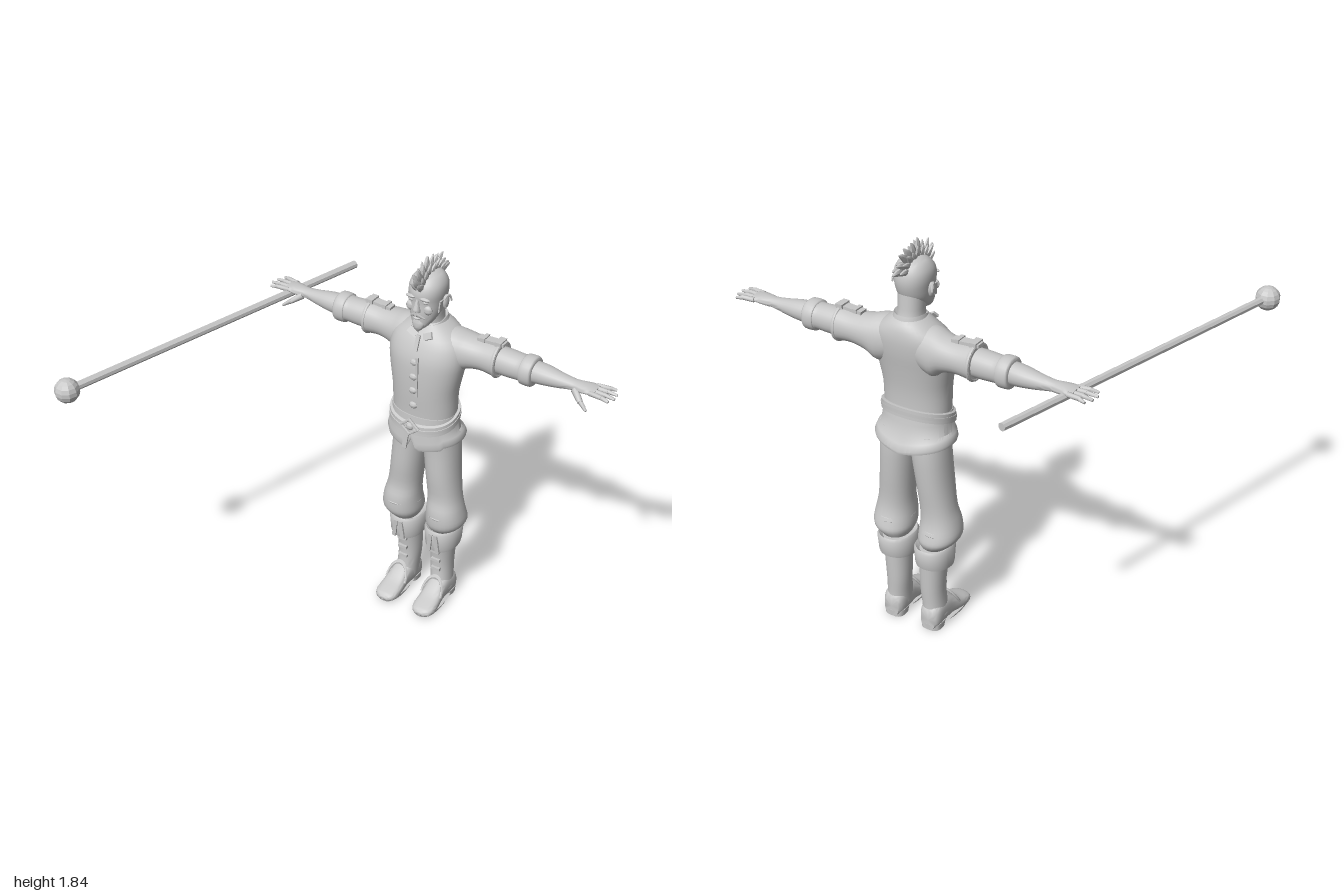
import * as THREE from 'three';
import { toCreasedNormals } from 'three/addons/utils/BufferGeometryUtils.js';

const grey = new THREE.MeshStandardMaterial({ color: 0xc8c8c8 });
grey.name = 'plain grey';

// Turn faces outward by the sign of the enclosed volume
function orient(geo) {
  const p = geo.attributes.position, id = geo.index.array;
  const a = new THREE.Vector3(), b = new THREE.Vector3(), c = new THREE.Vector3();
  let vol = 0;
  for (let i = 0; i < id.length; i += 3) {
    a.fromBufferAttribute(p, id[i]); b.fromBufferAttribute(p, id[i + 1]); c.fromBufferAttribute(p, id[i + 2]);
    vol += a.dot(b.cross(c));
  }
  if (vol < 0) for (let i = 0; i < id.length; i += 3) [id[i], id[i + 2]] = [id[i + 2], id[i]];
  return geo;
}

// Closed loft of superellipse rings [t, centreA, halfA, lowB, highB] along an axis
function loft(axis, rings, { seg = 28, sub = 3, pow = 2.2, rule } = {}) {
  const rows = [];
  const at = i => rings[Math.min(rings.length - 1, Math.max(0, i))];
  for (let i = 0; i < rings.length - 1; i++)
    for (let k = 0; k < sub; k++) {
      const f = k / sub, [p, q, r, s] = [at(i - 1), at(i), at(i + 1), at(i + 2)];
      rows.push(q.map((v, j) => sub === 1 ? v : v + 0.5 * f * (r[j] - p[j] +
        f * (2 * p[j] - 5 * v + 4 * r[j] - s[j] + f * (3 * (v - r[j]) + s[j] - p[j])))));
    }
  rows.push(at(rings.length));
  const pos = [], idx = [];
  const put = (t, a, b) => {
    const v = axis === 'y' ? [a, t, b] : axis === 'x' ? [t, b, a] : [a, b, t];
    pos.push(...(rule ? rule(...v) : v));
  };
  const sp = v => Math.sign(v) * Math.abs(v) ** (2 / pow);
  for (const [t, ca, wa, b0, b1] of rows)
    for (let j = 0; j < seg; j++) {
      const th = j / seg * Math.PI * 2;
      put(t, ca + wa * sp(Math.sin(th)), (b0 + b1) / 2 + (b1 - b0) / 2 * sp(Math.cos(th)));
    }
  const n = rows.length, first = rows[0], last = rows[n - 1];
  put(first[0], first[1], (first[3] + first[4]) / 2);
  put(last[0], last[1], (last[3] + last[4]) / 2);
  for (let i = 0; i < n - 1; i++)
    for (let j = 0; j < seg; j++) {
      const a = i * seg + j, b = i * seg + (j + 1) % seg;
      idx.push(a, b, a + seg, b, b + seg, a + seg);
    }
  for (let j = 0; j < seg; j++) {
    const k = (j + 1) % seg, o = (n - 1) * seg;
    idx.push(n * seg, k, j, n * seg + 1, o + j, o + k);
  }
  const g = new THREE.BufferGeometry();
  g.setAttribute('position', new THREE.Float32BufferAttribute(pos, 3));
  g.setIndex(idx);
  return orient(g);
}

// Tapered rod between two points
function rod(p, q, r0, r1, sides = 8, flat = 1) {
  const a = new THREE.Vector3(...p), b = new THREE.Vector3(...q), d = b.clone().sub(a);
  const g = new THREE.CylinderGeometry(r1, r0, d.length(), sides, 1).scale(flat, 1, 1);
  g.applyQuaternion(new THREE.Quaternion().setFromUnitVectors(new THREE.Vector3(0, 1, 0), d.normalize()));
  return g.translate(...a.add(b).multiplyScalar(0.5).toArray());
}
const box = (w, h, d, x, y, z, rx = 0, rz = 0) =>
  new THREE.BoxGeometry(w, h, d).rotateX(rx).rotateZ(rz).translate(x, y, z);
const ball = (x, y, z, a, b, c, n = 12) => new THREE.SphereGeometry(1, n, 9).scale(a, b, c).translate(x, y, z);

export function createModel() {
  const model = new THREE.Group(), body = new THREE.Group();
  body.name = 'figure';
  body.position.x = 0.125;
  model.add(body);
  const add = (name, geo, crease = 0.75, parent = body) => {
    const m = new THREE.Mesh(toCreasedNormals(geo, crease), grey);
    m.name = name;
    parent.add(m);
  };
  const pair = (name, geo, crease) => {
    add(name + 'Left', geo, crease);
    add(name + 'Right', orient(geo.clone().scale(-1, 1, 1)), crease);
  };

  // Shirt, skirt and belt
  add('shirt', loft('y', [[1.0, 0, .15, -.275, -.495], [1.1, 0, .152, -.272, -.488], [1.2, 0, .155, -.266, -.49],
    [1.3, 0, .172, -.265, -.503], [1.38, 0, .182, -.272, -.516], [1.45, 0, .168, -.298, -.52],
    [1.5, 0, .11, -.33, -.51], [1.53, 0, .066, -.348, -.487]], { seg: 40 }), 1);
  add('shirtSkirt', loft('y', [[.985, 0, .12, -.3, -.49], [.925, 0, .17, -.27, -.53], [.935, 0, .184, -.256, -.545],
    [1.0, 0, .165, -.262, -.51], [1.09, 0, .154, -.268, -.492]], {
    seg: 64, sub: 2, rule: (x, y, z) => {
      if (y > .98) return [x, y, z];
      const slit = z > -.35 ? Math.max(0, 1 - Math.abs(x) / .025) : 0;
      return [x, y + Math.abs(x) * .16 - (z > -.3 ? .012 : 0) + slit * .06, z];
    } }));
  const tilt = (x, y, z) => [x, y - (z + .38) * .3, z];
  add('belt', loft('y', [[1.04, 0, .154, -.264, -.496], [1.043, 0, .165, -.252, -.504], [1.088, 0, .164, -.254, -.502],
    [1.091, 0, .152, -.266, -.492]], { seg: 48, sub: 1, rule: tilt }));
  add('beltEdge', loft('y', [[1.058, 0, .167, -.25, -.507], [1.073, 0, .167, -.25, -.507]], { seg: 48, sub: 1, rule: tilt }));
  add('buckle', new THREE.TorusGeometry(.038, .008, 6, 4).scale(1.15, 1, 1).translate(0, 1.045, -.246), .4);
  add('buckleStud', ball(0, 1.045, -.249, .018, .018, .01));
  add('beltTail', box(.022, .13, .008, -.02, .985, -.254, -.05, -.12));
  for (const [y, z] of [[1.15, -.268], [1.23, -.262], [1.3, -.262], [1.37, -.268]])
    add('shirtClasp', ball(.004, y, z, .02, .016, .012));
  add('shirtPlacket', box(.012, .2, .008, .02, 1.3, -.264));

  // Collar with its open flaps
  add('collar', loft('y', [[1.49, 0, .085, -.325, -.5], [1.53, 0, .07, -.338, -.49], [1.545, 0, .066, -.342, -.485],
    [1.53, 0, .05, -.36, -.47]], { sub: 1, rule: (x, y, z) => [x, y - Math.max(0, z + .42) * .3, z] }));
  pair('collarFlap', box(.045, .03, .01, .038, 1.487, -.318, -.6, .5));
  add('collarTie', box(.018, .07, .008, 0, 1.455, -.292, -.35));

  // Arms: sleeve, under-sleeve, forearm and hand
  pair('sleeve', loft('x', [[.05, -.42, .085, 1.32, 1.505], [.13, -.425, .09, 1.29, 1.5], [.18, -.435, .082, 1.325, 1.487],
    [.25, -.44, .075, 1.343, 1.478], [.31, -.44, .077, 1.338, 1.484], [.335, -.44, .08, 1.333, 1.488]]), 1);
  pair('sleeveHem', new THREE.TorusGeometry(.075, .009, 8, 28).rotateY(Math.PI / 2).translate(.328, 1.411, -.44));
  pair('underSleeve', loft('x', [[.31, -.44, .06, 1.35, 1.47], [.38, -.44, .06, 1.35, 1.468], [.44, -.44, .058, 1.352, 1.465],
    [.452, -.44, .066, 1.342, 1.474], [.495, -.44, .066, 1.342, 1.474], [.502, -.44, .054, 1.355, 1.46]]));
  pair('forearm', loft('x', [[.48, -.44, .048, 1.36, 1.458], [.55, -.442, .047, 1.367, 1.452], [.62, -.443, .036, 1.376, 1.44],
    [.68, -.444, .03, 1.388, 1.432], [.715, -.444, .036, 1.39, 1.432], [.755, -.445, .044, 1.4, 1.43],
    [.785, -.445, .042, 1.404, 1.426]], { seg: 20 }), 1.2);
  [[.85, -.482, -.5], [.868, -.459, -.467], [.872, -.435, -.432], [.858, -.412, -.4]].forEach(([x, z0, z1], i) => {
    pair('finger' + i, rod([.765, 1.415, z0], [.825, 1.416, (z0 + z1) / 2], .0115, .01, 8), 1);
    pair('fingertip' + i, rod([.822, 1.416, (z0 + z1) / 2], [x, 1.411, z1], .01, .006, 8), 1);
  });
  pair('thumb', rod([.695, 1.402, -.42], [.74, 1.372, -.388], .017, .012), 1);
  pair('thumbTip', rod([.735, 1.376, -.391], [.775, 1.348, -.375], .012, .006), 1);

  // Shoulder straps
  pair('shoulderStrap', box(.13, .014, .04, .285, 1.488, -.44, 0, .05));
  pair('strapBand', box(.03, .02, .056, .325, 1.494, -.44));
  pair('strapLoop', box(.018, .018, .05, .25, 1.49, -.44));

  // Trousers
  pair('trouserLeg', loft('y', [[1.0, .073, .076, -.3, -.495], [.9, .08, .08, -.31, -.502], [.75, .094, .077, -.312, -.494],
    [.63, .107, .078, -.32, -.484], [.56, .115, .086, -.306, -.488], [.5, .118, .093, -.304, -.505],
    [.465, .113, .086, -.312, -.51], [.43, .102, .06, -.34, -.49]]), 1);
  add('crotch', loft('y', [[.87, 0, .03, -.36, -.45], [.9, 0, .06, -.33, -.47], [.98, 0, .1, -.3, -.49]]), 1);
  pair('kneeFold', new THREE.TorusGeometry(.07, .02, 8, 28).rotateX(Math.PI / 2 - .1).scale(1, 1, 1.12).translate(.116, .525, -.402));

  // Boots: shaft, turned-down cuff, foot, heel and straps
  pair('bootShaft', loft('y', [[.42, .096, .062, -.34, -.5], [.3, .092, .057, -.362, -.497], [.2, .09, .053, -.372, -.494],
    [.12, .094, .051, -.365, -.49], [.06, .098, .052, -.35, -.492]]), 1);
  pair('bootCuff', loft('y', [[.355, .096, .06, -.35, -.5], [.33, .096, .078, -.336, -.512], [.345, .096, .081, -.332, -.516],
    [.425, .097, .085, -.322, -.523], [.437, .097, .078, -.33, -.515], [.42, .097, .06, -.35, -.5]], {
    seg: 40, sub: 1, rule: (x, y, z) => [x, y + (y < .35 ? (z + .42) * -.12 : 0), z] }));
  pair('cuffTailInner', box(.02, .1, .01, .078, .375, -.326, .05, -.12));
  pair('cuffTailOuter', box(.02, .1, .01, .114, .375, -.326, .05, .12));
  pair('bootFoot', loft('z', [[-.496, .098, .036, .004, .1], [-.47, .098, .05, .002, .13], [-.41, .098, .051, .006, .14],
    [-.355, .1, .05, .01, .115], [-.3, .102, .055, .004, .078], [-.25, .103, .056, .004, .058],
    [-.22, .103, .045, .008, .046], [-.206, .102, .022, .015, .036]], { pow: 2.7 }), 1);
  pair('bootSole', loft('y', [[.008, .102, .053, -.208, -.42], [.02, .102, .056, -.205, -.46]], { sub: 1, pow: 2.5 }));
  pair('bootHeel', loft('y', [[0, .098, .047, -.41, -.496], [.03, .098, .049, -.4, -.497]], { sub: 1, pow: 3 }));
  pair('ankleSeam', new THREE.TorusGeometry(.052, .006, 6, 28, Math.PI).scale(1, 1.75, 1).rotateX(-.5).translate(.1, .065, -.318));
  for (const y of [.19, .245, .3])
    pair('bootStrap', box(.046, .014, .016, .092, y, -.368 + (y - .2) * .08));

  // Neck and head
  add('neck', loft('y', [[1.45, 0, .075, -.34, -.5], [1.53, 0, .056, -.35, -.472], [1.58, 0, .055, -.345, -.465],
    [1.64, 0, .055, -.35, -.46]]), 1);
  add('head', loft('y', [[1.527, 0, .02, -.293, -.33], [1.54, 0, .036, -.288, -.36], [1.57, 0, .056, -.286, -.41],
    [1.605, 0, .068, -.284, -.45], [1.65, 0, .075, -.286, -.468], [1.69, 0, .08, -.283, -.473],
    [1.725, 0, .076, -.293, -.466], [1.755, 0, .058, -.32, -.447], [1.77, 0, .032, -.35, -.42],
    [1.774, 0, .006, -.38, -.39]], { seg: 36 }), 1.2);
  add('nose', loft('y', [[1.612, 0, .012, -.278, -.3], [1.62, 0, .018, -.264, -.3], [1.64, 0, .012, -.268, -.3],
    [1.672, 0, .007, -.279, -.3]], { seg: 12 }), 1);
  pair('brow', ball(.033, 1.679, -.289, .026, .008, .01));
  pair('eye', ball(.032, 1.661, -.296, .014, .008, .009));
  pair('cheek', ball(.042, 1.625, -.302, .022, .022, .014));
  pair('moustache', rod([.002, 1.603, -.278], [.034, 1.585, -.293], .009, .004), 1);
  add('lips', ball(0, 1.583, -.284, .018, .006, .008));
  add('goatee', loft('y', [[1.513, 0, .005, -.292, -.302], [1.53, 0, .022, -.281, -.32], [1.555, 0, .03, -.28, -.32],
    [1.572, 0, .016, -.282, -.31]], { seg: 16 }), 1);
  pair('sideburn', box(.006, .055, .025, .076, 1.632, -.352, 0, -.1));
  pair('ear', ball(.082, 1.643, -.383, .011, .034, .022));
  pair('earRim', new THREE.TorusGeometry(.022, .005, 6, 16, 4.2).scale(.85, 1.4, 1).rotateY(1.2).translate(.09, 1.643, -.385));

  // Crest: leaf-like spikes fanned over the skull, in three rows
  const cz = -.383, cy = 1.675;
  for (let i = 0; i < 9; i++)
    for (const s of [-1, 0, 1]) {
      const a = .95 - i * .245 + Math.abs(s) * .1;
      const len = .155 + .008 * Math.sin(i * 2.4 + s) - Math.abs(s) * .02;
      const spike = new THREE.SphereGeometry(1, 6, 6).scale(.009, .045, .017);
      const p = spike.attributes.position;
      for (let k = 0; k < p.count; k++) p.setZ(k, p.getZ(k) * (1 - p.getY(k) * 9) - p.getY(k) ** 2 * 5);
      spike.rotateX(a * 1.15 - .15).rotateZ(-s * .22);
      spike.translate(s * .014, cy + Math.cos(a) * (len - .035), cz + Math.sin(a) * (len - .03));
      add('crestSpike', spike, .6);
    }

  // Staff with a round head
  add('staffShaft', rod([-.94, 1.384, .72], [-.537, 1.4, -.8], .018, .018, 8), .4, model);
  add('staffHead', ball(-.948, 1.383, .743, .055, .055, .055, 10), .2, model);
  return model;
}
